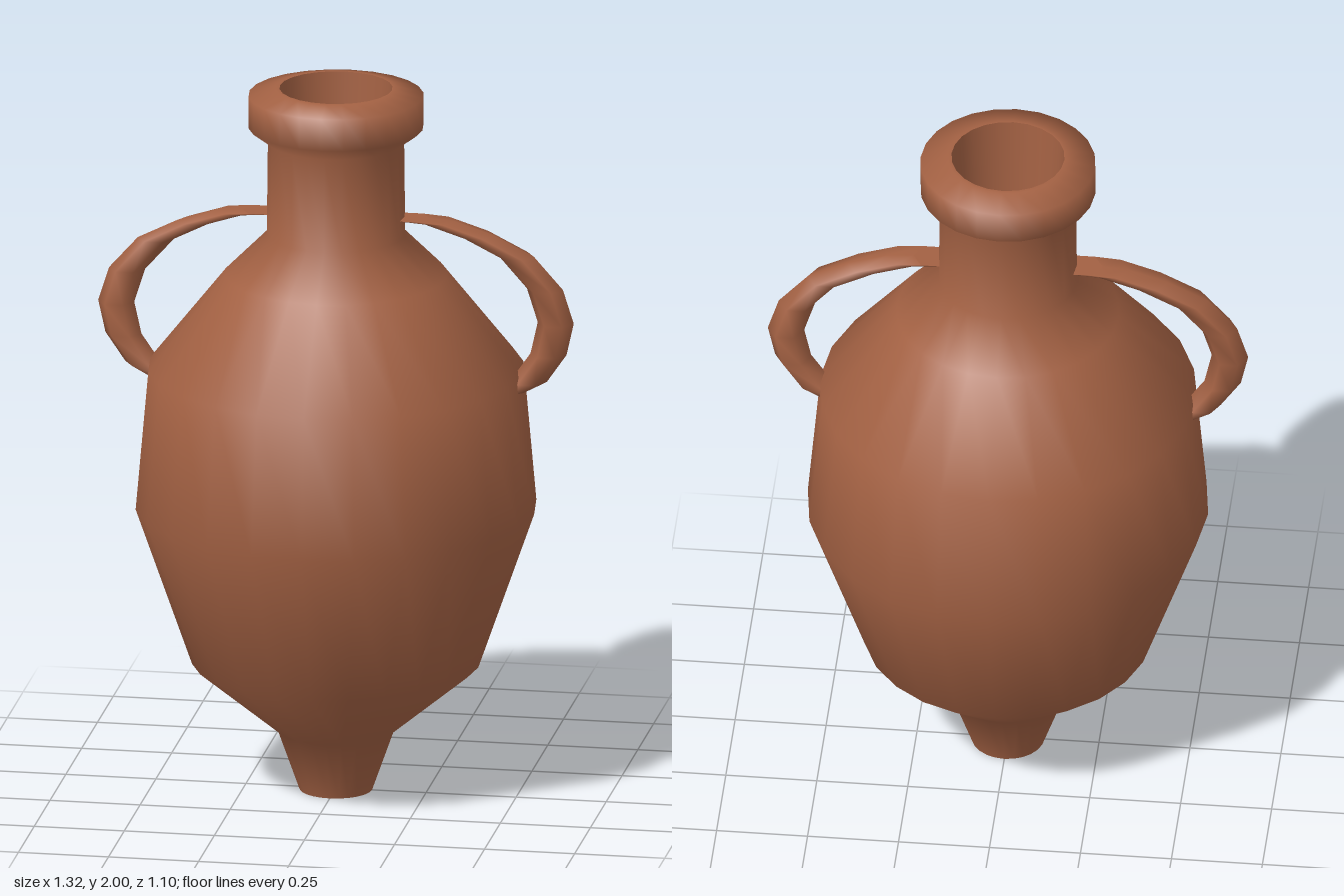
import * as THREE from 'three';

const SIDES = 24;

function lathe(name, profile, material) {
  const points = profile.map(([r, y]) => new THREE.Vector2(r, y));
  const mesh = new THREE.Mesh(new THREE.LatheGeometry(points, SIDES), material);
  mesh.name = name;
  return mesh;
}

function disc(name, radius, y, facing, material) {
  const mesh = new THREE.Mesh(new THREE.CircleGeometry(radius, SIDES), material);
  mesh.name = name;
  mesh.rotation.x = -facing * Math.PI / 2;
  mesh.position.y = y;
  return mesh;
}

// Horizontal hexagons carried along a descending path, so the strap thins out at the neck
function handleGeometry() {
  const path = [
    [0.21, 1.64], [0.28, 1.635], [0.39, 1.60], [0.50, 1.545], [0.58, 1.455],
    [0.61, 1.36], [0.59, 1.27], [0.535, 1.19], [0.47, 1.155],
  ];
  const n = 6, radius = 0.05;
  const positions = [], index = [];
  const addRing = ([x, y]) => {
    for (let j = 0; j < n; j++) {
      const a = (j / n) * Math.PI * 2;
      positions.push(x + radius * Math.cos(a), y, radius * Math.sin(a));
    }
  };
  path.forEach(addRing);
  for (let i = 0; i < path.length - 1; i++) {
    for (let j = 0; j < n; j++) {
      const a = i * n + j, b = i * n + (j + 1) % n;
      index.push(a, b, a + n, b, b + n, a + n);
    }
  }
  // End caps with their own corners, to keep the edges sharp
  const top = path.length * n, bottom = top + n;
  addRing(path[0]);
  addRing(path[path.length - 1]);
  for (let j = 1; j < n - 1; j++) {
    index.push(top, top + j + 1, top + j);
    index.push(bottom, bottom + j, bottom + j + 1);
  }
  const geometry = new THREE.BufferGeometry();
  geometry.setAttribute('position', new THREE.Float32BufferAttribute(positions, 3));
  geometry.setIndex(index);
  geometry.computeVertexNormals();
  return geometry;
}

export function createModel() {
  const clay = new THREE.MeshStandardMaterial({ color: 0xa36143 });
  clay.name = 'terracotta';
  const dark = new THREE.MeshStandardMaterial({ color: 0x222222 });
  dark.name = 'darkInterior';

  const jar = new THREE.Group();
  jar.name = 'amphora';

  // Foot, belly, shoulder, neck and rim in one turned surface
  jar.add(lathe('body', [
    [0.10, 0], [0.16, 0.17], [0.395, 0.365], [0.55, 0.81], [0.515, 1.205],
    [0.305, 1.47], [0.19, 1.585], [0.187, 1.85], [0.24, 1.89], [0.24, 1.98],
    [0.165, 2.0], [0.155, 2.0],
  ], clay));
  jar.add(disc('footBase', 0.10, 0, -1, clay));

  // Hollow neck
  jar.add(lathe('mouthWall', [[0.155, 2.0], [0.132, 1.6]], clay));
  jar.add(disc('mouthDepth', 0.132, 1.6, 1, dark));

  // Pair of handles
  const geometry = handleGeometry();
  ['leftHandle', 'rightHandle'].forEach((name, i) => {
    const handle = new THREE.Mesh(geometry, clay);
    handle.name = name;
    handle.rotation.y = i * Math.PI;
    jar.add(handle);
  });

  return jar;
}
